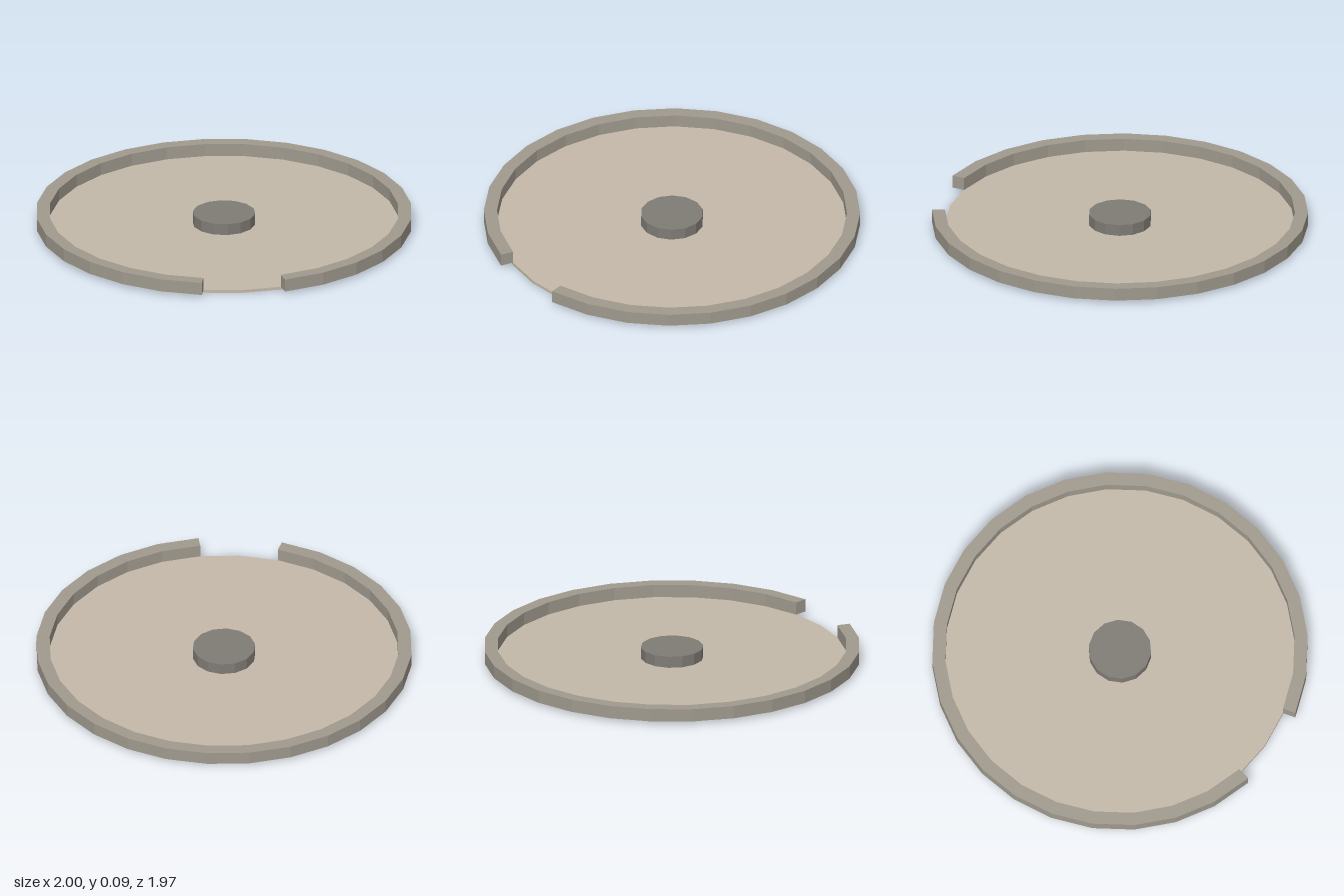
import * as THREE from 'three';

const SIDES = 28;
const PLATE_TOP = 0.016;
const RIM_TOP = 0.085;
const INNER = 0.93;

function part(name, geometry, color, y) {
  const material = new THREE.MeshStandardMaterial({ color, flatShading: true });
  const mesh = new THREE.Mesh(geometry, material);
  mesh.name = name;
  mesh.position.y = y;
  return mesh;
}

// Upright faceted disc with its base at y = 0
function disc(radius, height, sides) {
  return new THREE.CylinderGeometry(radius, radius, height, sides).translate(0, height / 2, 0);
}

// Faceted ring with the two front segments left out
function openRing(inner, outer, height) {
  const step = (Math.PI * 2) / SIDES;
  const arc = (r) => Array.from({ length: SIDES - 1 }, (_, i) => {
    const a = -Math.PI / 2 + (i + 1) * step;
    return new THREE.Vector2(r * Math.cos(a), r * Math.sin(a));
  });
  const shape = new THREE.Shape([...arc(outer), ...arc(inner).reverse()]);
  return new THREE.ExtrudeGeometry(shape, { depth: height, bevelEnabled: false }).rotateX(-Math.PI / 2);
}

export function createModel() {
  const model = new THREE.Group();
  model.name = 'roundTray';

  // Thin floor plate
  model.add(part('floorPlate', disc(INNER, PLATE_TOP, SIDES), 0xc4b9a9, 0));
  // Raised rim, open at the front
  model.add(part('rim', openRing(INNER, 1, RIM_TOP - PLATE_TOP), 0xa09a8e, PLATE_TOP));
  // Low round hub in the middle
  model.add(part('centerHub', disc(0.167, 0.078 - PLATE_TOP, 14), 0x807c76, PLATE_TOP));

  // The opening shortens the front, so shift to centre the depth
  for (const mesh of model.children) mesh.position.z = 0.0125;
  return model;
}
